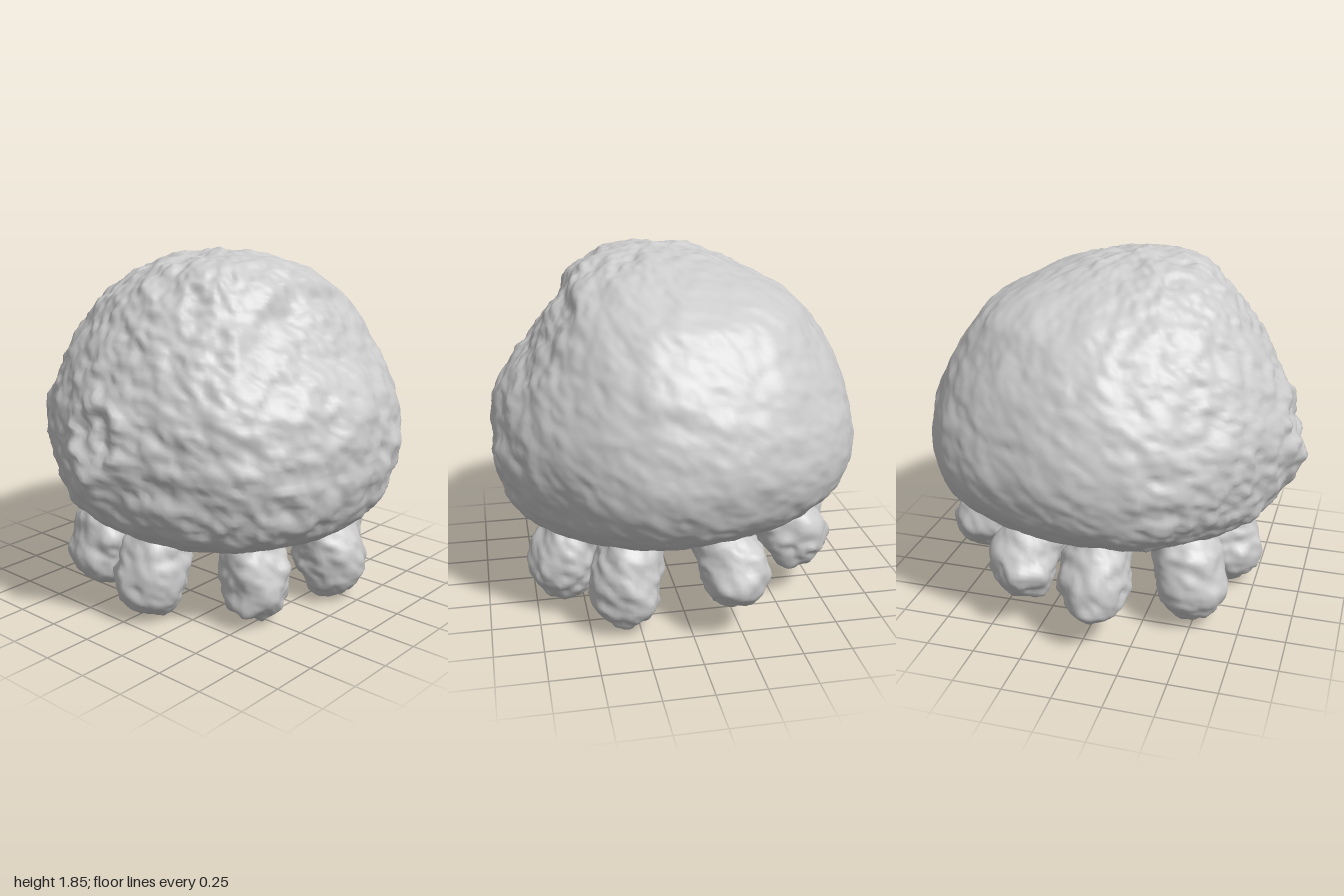
import * as THREE from 'three';
import { mergeVertices } from 'three/addons/utils/BufferGeometryUtils.js';

const material = new THREE.MeshStandardMaterial({ color: 0xcccccc, roughness: 0.9 });
const smooth = THREE.MathUtils.smoothstep;
const lerp = THREE.MathUtils.lerp;

// Seeded lattice value noise, roughly -1..1
function hash(x, y, z) {
  const s = Math.sin(x * 127.1 + y * 311.7 + z * 74.7 + 5.3) * 43758.5453;
  return (s - Math.floor(s)) * 2 - 1;
}
function noise(x, y, z) {
  const i = Math.floor(x), j = Math.floor(y), k = Math.floor(z);
  const u = smooth(x - i, 0, 1), v = smooth(y - j, 0, 1), w = smooth(z - k, 0, 1);
  const edge = (b, c) => lerp(hash(i, j + b, k + c), hash(i + 1, j + b, k + c), u);
  return lerp(lerp(edge(0, 0), edge(1, 0), v), lerp(edge(0, 1), edge(1, 1), v), w);
}
// Two octaves of lumps at a chosen frequency
const lumps = (p, f) => noise(p.x * f, p.y * f, p.z * f) + 0.5 * noise(p.x * f * 2.1 + 7, p.y * f * 2.1, p.z * f * 2.1);

// Weld a geometry, move every vertex by a rule and recompute smooth normals
function sculpt(geometry, rule) {
  geometry.deleteAttribute('uv');
  geometry.deleteAttribute('normal');
  const g = mergeVertices(geometry, 1e-5);
  const pos = g.attributes.position;
  const p = new THREE.Vector3();
  for (let i = 0; i < pos.count; i++) {
    rule(p.fromBufferAttribute(pos, i));
    pos.setXYZ(i, p.x, p.y, p.z);
  }
  g.computeVertexNormals();
  return g;
}

function makeMesh(name, geometry) {
  const mesh = new THREE.Mesh(geometry, material);
  mesh.name = name;
  return mesh;
}

// Domed body: a lathe, tilted, made uneven and given a rough surface
function makeBody() {
  const profile = new THREE.CatmullRomCurve3([
    [0, 0.52], [0.25, 0.49], [0.45, 0.45], [0.6, 0.45], [0.72, 0.49], [0.83, 0.57], [0.9, 0.67],
    [0.945, 0.85], [0.94, 1.0], [0.88, 1.2], [0.78, 1.4], [0.625, 1.6], [0.4, 1.75], [0.18, 1.825], [0, 1.845],
  ].map(([r, y]) => new THREE.Vector3(r, y, 0)));
  const points = profile.getSpacedPoints(140).map((p) => new THREE.Vector2(Math.max(p.x, 0), p.y));
  points[0].x = points[140].x = 0;
  const centre = new THREE.Vector3(-0.01, 0.95, -0.05);
  const out = new THREE.Vector3();

  return makeMesh('body', sculpt(new THREE.LatheGeometry(points, 220), (p) => {
    const r = Math.hypot(p.x, p.z) || 1;
    const dx = p.x / r, dz = p.z / r;
    // not quite round: two diagonals are drawn in, two are fuller
    const corner = (x, z) => Math.max(0, 1 - 2.2 * Math.hypot(dx - x, dz - z));
    const wide = 1 - 0.025 * corner(-0.7, 0.7) - 0.03 * corner(0.7, -0.7)
      + 0.04 * corner(-0.7, -0.7) + 0.015 * corner(0.7, 0.7) + 0.015 * Math.max(0, -dx);
    const top = smooth(p.y, 1.55, 1.85);
    const low = 1 - smooth(p.y, 0.45, 0.95);
    const front = Math.max(0, dz) * smooth(p.y, 0.8, 1.2) * (1 - top);
    p.set(
      p.x * wide - 0.01 + 0.08 * top,
      p.y - (0.07 * p.x + 0.03 * p.z) * low,
      p.z * wide - 0.05 + 0.12 * top + 0.02 * low + 0.025 * front,
    );

    out.subVectors(p, centre).normalize();
    // the back stays smoother than the front and the left
    const rough = 0.45 + 0.55 * smooth(p.z + 0.5 * p.x, -0.5, 0.35);
    const under = smooth(p.y, 0.42, 0.6);
    let d = 0.01 * noise(p.x * 3, p.y * 3, p.z * 3);
    d += rough * (0.4 + 0.6 * under) * (0.019 * lumps(p, 10) + 0.009 * noise(p.x * 32, p.y * 32, p.z * 32));
    // step running down the upper left, the surface beyond it lying lower
    const step = smooth(p.x + 0.04 * noise(p.y * 6, 2, p.z * 4), 0.5, 0.58);
    d -= 0.045 * step * smooth(p.z, -0.55, -0.25) * smooth(p.y, 1.15, 1.4) * (1 - smooth(p.z, 0.35, 0.6));
    // snout swelling and the crumpled mouth above it
    if (p.z > 0) {
      d += 0.065 * Math.exp(-((p.x / 0.15) ** 2 + ((p.y - 0.82) / 0.15) ** 2));
      const m = Math.hypot(p.x, p.y - 1.02);
      d += 0.025 * Math.exp(-(((m - 0.16) / 0.045) ** 2));
      d += (1 - smooth(m, 0.14, 0.24)) * 0.025 * lumps(p, 18);
    }
    p.addScaledVector(out, d);
  }));
}

// Stubby leg: a sphere stretched along a curve from under the body to its tip
function makeLeg([x, z, bottom, radius]) {
  const curve = new THREE.CatmullRomCurve3([
    new THREE.Vector3(x * 0.3, 0.6, z * 0.3),
    new THREE.Vector3(x * 0.74, 0.5, z * 0.74),
    new THREE.Vector3(x * 0.95, 0.3 + bottom * 0.4, z * 0.95),
    new THREE.Vector3(x, bottom + 0.01, z),
  ]);
  const side = new THREE.Vector3(z, 0, -x).normalize();
  const other = new THREE.Vector3();
  const out = new THREE.Vector3();

  return makeMesh('leg', sculpt(new THREE.SphereGeometry(1, 48, 56), (p) => {
    const t = Math.acos(THREE.MathUtils.clamp(p.y, -1, 1)) / Math.PI;
    const h = Math.hypot(p.x, p.z);
    const tangent = curve.getTangentAt(t);
    other.crossVectors(tangent, side);
    // tapered root buried in the body, slight neck, rounded foot
    const cap = t > 0.74 ? Math.sqrt(Math.max(0, 1 - ((t - 0.74) / 0.26) ** 2)) : 1;
    const shape = (0.45 + 0.43 * smooth(t, 0, 0.3)) + 0.12 * smooth(t, 0.4, 0.68);
    const k = h < 1e-4 ? 0 : (radius * shape * cap) / h;
    out.set(0, 0, 0).addScaledVector(side, p.x * k).addScaledVector(other, p.z * k);
    p.copy(curve.getPointAt(t)).add(out);
    out.addScaledVector(tangent, 0.12 * smooth(t, 0.7, 1)).normalize();
    const d = smooth(t, 0.25, 0.6) * (0.02 * lumps(p, 9) + 0.01 * noise(p.x * 28, p.y * 28, p.z * 28));
    p.addScaledVector(out, d);
    p.y = Math.max(p.y, 0);
  }));
}

export function createModel() {
  const model = new THREE.Group();
  model.name = 'model';
  model.add(makeBody());

  // legs in a ring: tip x, tip z, height of the tip, radius
  const legs = new THREE.Group();
  legs.name = 'legs';
  [
    [0.05, 0.6, 0, 0.185],
    [0.5, 0.3, 0.02, 0.18],
    [0.61, -0.22, 0, 0.185],
    [0.33, -0.61, 0.02, 0.185],
    [-0.21, -0.76, 0.17, 0.175],
    [-0.65, -0.37, 0.15, 0.175],
    [-0.76, 0.06, 0.14, 0.175],
    [-0.43, 0.5, 0.02, 0.185],
  ].forEach((spec) => legs.add(makeLeg(spec)));
  model.add(legs);
  return model;
}
